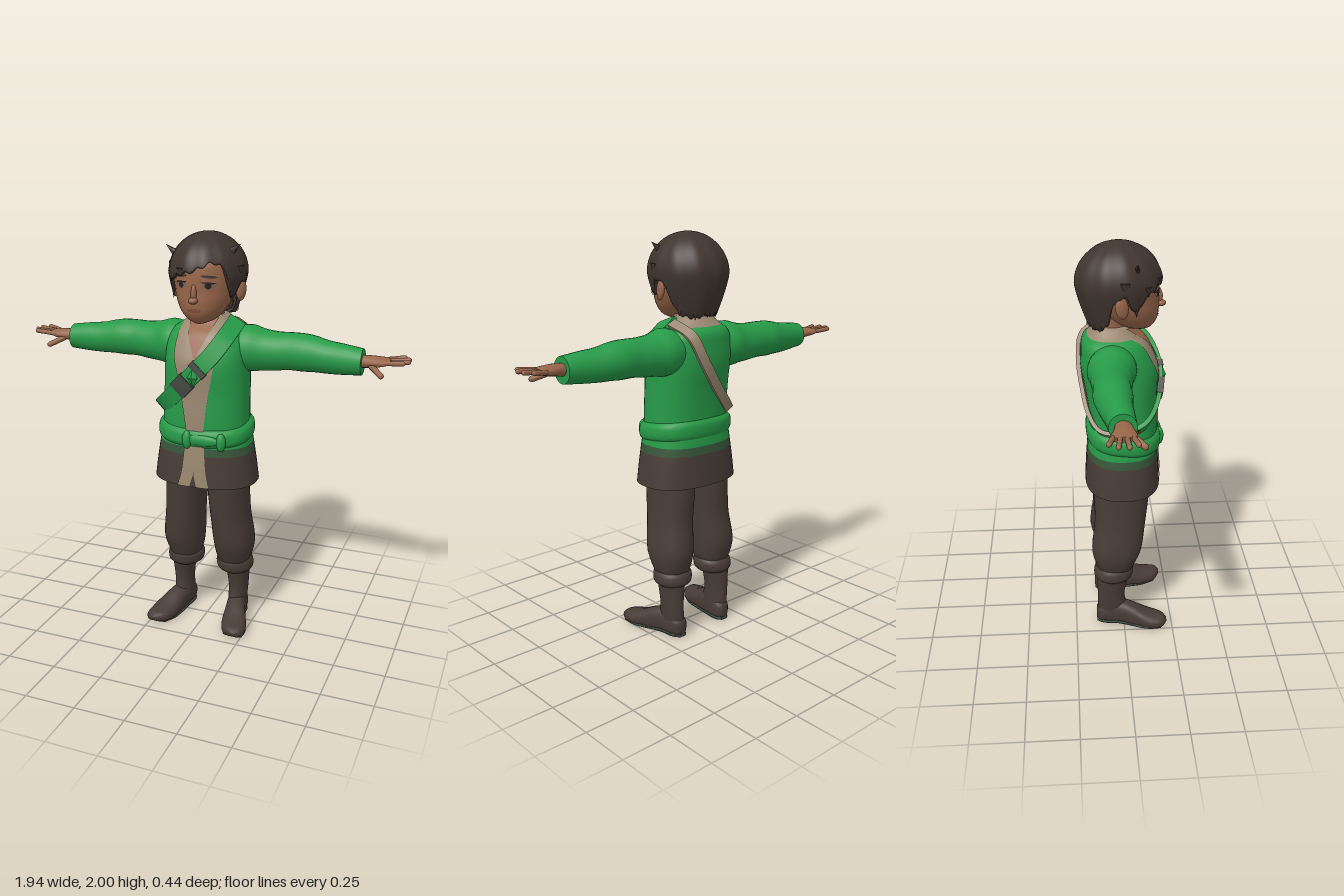
import * as THREE from 'three';
import { toCreasedNormals } from 'three/addons/utils/BufferGeometryUtils.js';

const mat = (name, color, side = THREE.FrontSide) => {
  const m = new THREE.MeshStandardMaterial({ color, side });
  m.name = name;
  return m;
};

// Surface from a rule f(i, j); wrap joins the last column to the first
function grid(rows, cols, f, wrap, flip) {
  const pos = [], idx = [], C = wrap ? cols : cols + 1;
  for (let i = 0; i <= rows; i++) for (let j = 0; j < C; j++) pos.push(...f(i, j));
  for (let i = 0; i < rows; i++) for (let j = 0; j < cols; j++) {
    const a = i * C + j, b = i * C + (j + 1) % C, c = a + C, d = b + C;
    idx.push(...(flip ? [a, c, b, b, c, d] : [a, b, c, b, d, c]));
  }
  const g = new THREE.BufferGeometry();
  g.setAttribute('position', new THREE.Float32BufferAttribute(pos, 3));
  g.setIndex(idx);
  g.computeVertexNormals();
  return g;
}

// Smooth interpolation of rows keyed by their first number
function sample(rows, h) {
  let i = 0;
  while (i < rows.length - 2 && h > rows[i + 1][0]) i++;
  const a = rows[i], b = rows[i + 1], p = rows[Math.max(i - 1, 0)], q = rows[Math.min(i + 2, rows.length - 1)];
  const d = b[0] - a[0], t = Math.min(1, Math.max(0, (h - a[0]) / d)), t2 = t * t, t3 = t2 * t;
  return a.map((v, k) => (2 * t3 - 3 * t2 + 1) * v + (3 * t2 - 2 * t3) * b[k]
    + (t3 - 2 * t2 + t) * d * (b[k] - p[k]) / (b[0] - p[0]) + (t3 - t2) * d * (q[k] - a[k]) / (q[0] - a[0]));
}
const spow = (v, p) => Math.sign(v) * Math.abs(v) ** (2 / p);

// Capped tube through sections [along, centreA, centreB, radiusA, radiusB]
function loft(secs, { axis = 'y', pow = 2, from = secs[0][0], to = secs.at(-1)[0], rows = 20, cols = 32, warp } = {}) {
  const g = grid(rows + 2, cols, (i, j) => {
    const h = from + (to - from) * Math.min(rows, Math.max(0, i - 1)) / rows;
    const [, ca, cb, ra, rb] = sample(secs, h), k = i === 0 || i === rows + 2 ? 0 : 1, t = j / cols * Math.PI * 2;
    const a = ca + k * ra * spow(Math.cos(t), pow), b = cb + k * rb * spow(Math.sin(t), pow);
    const p = axis === 'y' ? [a, h, b] : axis === 'x' ? [h, a, b] : [a, b, h];
    return warp ? warp(...p) : p;
  }, true, axis === 'y');
  return toCreasedNormals(g, 0.9);
}

// Depth of a lofted body at (x, y), front or back
function depth(secs, pow, x, y, side = 1) {
  const [, cx, cz, rx, rz] = sample(secs, y);
  return cz + side * rz * Math.max(0, 1 - Math.abs((x - cx) / rx) ** pow) ** (1 / pow);
}

// Thin cloth panel laid on a body, edges given as [y, left, right]
const panel = (secs, pow, edges, off) => grid(24, 10, (i, j) => {
  const y = edges[0][0] + (edges.at(-1)[0] - edges[0][0]) * i / 24, [, l, r] = sample(edges, y);
  const x = l + (r - l) * j / 10;
  return [x, y, depth(secs, pow, x, y) + off];
});

// Thin oval laid on a body
const oval = (secs, cx, cy, rx, ry, off, tilt = 0) => grid(3, 18, (i, j) => {
  const t = j / 18 * Math.PI * 2, x = cx + rx * i / 3 * Math.cos(t), y = cy + ry * i / 3 * Math.sin(t) + tilt * (x - cx);
  return [x, y, depth(secs, 2, x, y) + off];
}, true, true);

// Flat band along a curve, facing away from the chest centre
function band(curve, t0, t1, w, th) {
  const g = grid(32, 4, (i, j) => {
    const t = t0 + (t1 - t0) * Math.min(30, Math.max(0, i - 1)) / 30, p = curve.getPoint(t), T = curve.getTangent(t);
    const N = p.clone().sub(new THREE.Vector3(0, 1.36, -0.02));
    N.addScaledVector(T, -N.dot(T)).normalize();
    const W = T.clone().cross(N), k = i === 0 || i === 32 ? 0 : 1;
    return p.addScaledVector(W, k * w * [1, -1, -1, 1][j]).addScaledVector(N, k * th * [1, 1, -1, -1][j]).toArray();
  }, true, true);
  return toCreasedNormals(g, 0.6);
}

// Rounded finger between two points
function finger(a, b, r) {
  const A = new THREE.Vector3(...a), B = new THREE.Vector3(...b), d = B.clone().sub(A);
  const g = new THREE.CapsuleGeometry(r, d.length() - r, 4, 10);
  g.applyQuaternion(new THREE.Quaternion().setFromUnitVectors(new THREE.Vector3(0, 1, 0), d.normalize()));
  return g.translate(...A.add(B).multiplyScalar(0.5).toArray());
}
const ball = (x, y, z, rx, ry, rz) => new THREE.SphereGeometry(1, 20, 14).scale(rx, ry, rz).translate(x, y, z);

function mirrored(geo) {
  const g = geo.index ? geo.toNonIndexed() : geo.clone();
  g.scale(-1, 1, 1);
  for (const at of Object.values(g.attributes)) for (let i = 0; i < at.count; i += 3) for (let k = 0; k < at.itemSize; k++) {
    const v = at.getComponent(i + 1, k);
    at.setComponent(i + 1, k, at.getComponent(i + 2, k));
    at.setComponent(i + 2, k, v);
  }
  return g;
}

export function createModel() {
  const model = new THREE.Group();
  model.name = 'tunicChild';
  const green = mat('green cloth', 0x279a48), moss = mat('dark green cloth', 0x37563a), brown = mat('brown cloth', 0x483c36);
  const skin = mat('skin', 0x98664a), tan = mat('tan cloth', 0x9a8871, THREE.DoubleSide), hairMat = mat('hair', 0x40352f, THREE.DoubleSide);
  const leather = mat('grey leather', 0x454a40), dark = mat('eye dark', 0x2a201c), eye = mat('eye grey', 0x80695c), lip = mat('lip', 0x85503f);
  const add = (name, geo, m) => {
    const mesh = new THREE.Mesh(geo, m);
    mesh.name = name;
    model.add(mesh);
  };
  const pair = (name, geo, m) => { add(name + 'Left', geo, m); add(name + 'Right', mirrored(geo), m); };

  // Tunic body, collar and skirt
  const body = [[0.98, 0, 0, 0.22, 0.165], [1.1, 0, 0.005, 0.214, 0.165], [1.25, 0, -0.003, 0.21, 0.17], [1.4, 0, -0.015, 0.205, 0.183],
    [1.48, 0, -0.03, 0.2, 0.166], [1.54, 0, -0.045, 0.175, 0.145], [1.575, 0, -0.05, 0.125, 0.108], [1.61, 0, -0.05, 0.085, 0.08]];
  const skirt = [[0.79, 0, 0, 0.262, 0.186], [0.9, 0, 0, 0.247, 0.18], [1.05, 0, 0, 0.222, 0.168]];
  add('tunicBody', loft(body, { pow: 2.4, to: 1.566, rows: 30, cols: 40 }), green);
  add('collar', loft(body, { pow: 2.4, from: 1.566, rows: 6, cols: 40 }), tan);
  add('skirtTop', loft(skirt, { pow: 2.4, from: 0.99, rows: 4, cols: 40 }), green);
  add('skirtBand', loft(skirt, { pow: 2.4, from: 0.95, to: 0.99, rows: 4, cols: 40 }), moss);
  add('skirtHem', loft(skirt, { pow: 2.4, to: 0.95, rows: 8, cols: 40 }), brown);

  // Undershirt opening, bare neckline and the two front tails
  add('undershirt', panel(body, 2.4, [[1.06, -0.04, 0.045], [1.2, -0.062, 0.06], [1.35, -0.09, 0.085], [1.45, -0.115, 0.1], [1.57, -0.11, 0.1]], 0.006), tan);
  add('neckline', panel(body, 2.4, [[1.43, -0.004, 0.004], [1.52, -0.045, 0.04], [1.605, -0.075, 0.07]], 0.012), skin);
  add('shirtTailRight', panel(skirt, 2.4, [[0.792, -0.085, -0.02], [0.87, -0.064, 0], [1.02, -0.048, 0]], 0.006), tan);
  add('shirtTailLeft', panel(skirt, 2.4, [[0.792, 0.015, 0.078], [0.87, 0, 0.062], [1.02, 0, 0.048]], 0.006), tan);

  // Belt, rising a little at the back, with its knot
  add('belt', loft([[1.0, 0, 0, 0.222, 0.17], [1.02, 0, 0.004, 0.236, 0.182], [1.07, 0, 0.004, 0.234, 0.182], [1.09, 0, 0.004, 0.218, 0.168]],
    { pow: 2.4, cols: 40, rows: 10, warp: (x, y, z) => [x, y + (0.1 - z) * 0.12, z] }), green);
  add('beltKnot', ball(0.04, 1.035, 0.18, 0.09, 0.028, 0.018), green);
  [-0.035, 0.135].forEach(x => add('beltKnotEnd', ball(x, 1.032, x > 0.1 ? 0.17 : 0.182, 0.024, 0.046, 0.022), green));

  // Shoulder strap from left shoulder to right hip
  const onBody = (x, y, s) => new THREE.Vector3(x, y, depth(body, 2.4, x, y, s) + s * 0.012);
  const shoulder = new THREE.Vector3(0.135, 1.582, -0.05), hip = new THREE.Vector3(-0.225, 1.13, 0.01);
  const frontStrap = new THREE.CatmullRomCurve3([hip, onBody(-0.19, 1.17, 1), onBody(-0.1, 1.255, 1), onBody(0, 1.36, 1),
    onBody(0.08, 1.45, 1), onBody(0.125, 1.525, 1), shoulder]);
  const backStrap = new THREE.CatmullRomCurve3([shoulder, onBody(0.12, 1.53, -1), onBody(0.07, 1.42, -1), onBody(-0.02, 1.29, -1),
    onBody(-0.12, 1.18, -1), onBody(-0.185, 1.13, -1), hip]);
  add('strapFront', band(frontStrap, 0.08, 1, 0.042, 0.011), green);
  add('strapBack', band(backStrap, 0, 1, 0.024, 0.01), tan);
  add('strapTip', band(frontStrap, 0, 0.1, 0.03, 0.012), lip);
  add('strapBuckle', band(frontStrap, 0.36, 0.45, 0.046, 0.016), leather);
  add('strapClasp', band(frontStrap, 0.52, 0.56, 0.046, 0.016), leather);
  add('strapGem', new THREE.OctahedronGeometry(1).scale(0.026, 0.042, 0.018).translate(0, 1.345, 0.195), green);

  // Sleeves
  pair('sleeve', loft([[0.1, 1.455, -0.05, 0.09, 0.1], [0.2, 1.452, -0.058, 0.113, 0.115], [0.27, 1.447, -0.062, 0.1, 0.1], [0.34, 1.446, -0.065, 0.093, 0.092],
    [0.4, 1.45, -0.068, 0.09, 0.085], [0.47, 1.449, -0.068, 0.09, 0.088], [0.52, 1.447, -0.066, 0.085, 0.082], [0.58, 1.44, -0.06, 0.078, 0.074],
    [0.66, 1.438, -0.05, 0.072, 0.066], [0.75, 1.436, -0.042, 0.062, 0.06]], { axis: 'x', rows: 30, cols: 24 }), green);

  // Hands
  pair('palm', loft([[0.73, 1.438, -0.042, 0.03, 0.034], [0.78, 1.442, -0.04, 0.028, 0.042], [0.84, 1.445, -0.043, 0.021, 0.055],
    [0.875, 1.447, -0.046, 0.012, 0.05]], { axis: 'x', rows: 10, cols: 18 }), skin);
  [[-0.088, 0.94, -0.11], [-0.06, 0.967, -0.073], [-0.033, 0.97, -0.03], [-0.008, 0.95, 0.008]].forEach(([z0, x, z], i) =>
    pair('finger' + (i + 1), finger([0.855, 1.447, z0], [x - 0.006, 1.457, z], 0.0115), skin));
  pair('thumb', finger([0.79, 1.43, -0.015], [0.855, 1.397, 0.045], 0.014), skin);

  // Trousers, cuffs and boots
  pair('trouserLeg', loft([[0.31, 0.135, -0.045, 0.07, 0.08], [0.36, 0.135, -0.043, 0.09, 0.1], [0.44, 0.137, -0.036, 0.102, 0.125],
    [0.6, 0.122, -0.017, 0.098, 0.128], [0.75, 0.112, -0.01, 0.1, 0.138], [0.9, 0.106, 0, 0.104, 0.14]], { pow: 2.2 }), brown);
  pair('cuff', loft([[0.27, 0.138, -0.053, 0.075, 0.08], [0.285, 0.138, -0.053, 0.091, 0.097], [0.325, 0.135, -0.05, 0.094, 0.1],
    [0.35, 0.135, -0.046, 0.08, 0.088]], { rows: 10 }), brown);
  pair('bootShaft', loft([[0.03, 0.148, -0.065, 0.045, 0.07], [0.1, 0.15, -0.062, 0.047, 0.075], [0.17, 0.153, -0.066, 0.049, 0.07],
    [0.3, 0.15, -0.056, 0.062, 0.082]], { rows: 12 }), brown);
  pair('bootFoot', loft([[-0.142, 0.146, 0.05, 0.022, 0.035], [-0.12, 0.147, 0.052, 0.042, 0.052], [-0.03, 0.155, 0.06, 0.049, 0.068],
    [0.04, 0.172, 0.05, 0.056, 0.062], [0.12, 0.193, 0.033, 0.066, 0.044], [0.18, 0.207, 0.03, 0.058, 0.032], [0.207, 0.214, 0.033, 0.04, 0.022],
    [0.22, 0.217, 0.036, 0.014, 0.008]], { axis: 'z', pow: 2.4, rows: 24, warp: (x, y, z) => [x, Math.max(y, 0.012), z] }), brown);
  pair('sole', loft([[-0.14, 0.146, 0.008, 0.022, 0.008], [-0.11, 0.147, 0.008, 0.043, 0.008], [-0.03, 0.155, 0.008, 0.046, 0.008],
    [0.12, 0.193, 0.008, 0.064, 0.008], [0.19, 0.209, 0.012, 0.05, 0.008]], { axis: 'z', pow: 4, rows: 16 }), leather);

  // Neck, head, ears and face
  const head = [[1.588, 0, 0.085, 0.025, 0.035], [1.605, 0, 0.07, 0.065, 0.072], [1.64, 0, 0.052, 0.1, 0.112], [1.69, 0, 0.032, 0.128, 0.14],
    [1.74, 0, 0.018, 0.143, 0.153], [1.81, 0, 0.005, 0.155, 0.167], [1.88, 0, 0, 0.148, 0.16], [1.95, 0, -0.01, 0.1, 0.11]];
  add('neck', loft([[1.5, 0, -0.045, 0.078, 0.075], [1.6, 0, -0.045, 0.066, 0.068], [1.7, 0, -0.04, 0.075, 0.08]], { rows: 6 }), skin);
  add('head', loft(head, { rows: 28, cols: 36 }), skin);
  pair('ear', ball(0, 0, 0, 0.017, 0.052, 0.032).rotateY(-0.35).rotateX(-0.15).translate(0.166, 1.738, -0.01), skin);
  add('noseTip', ball(0, 1.706, 0.18, 0.022, 0.016, 0.026), skin);
  add('noseBridge', ball(0, 1.735, 0.168, 0.014, 0.045, 0.022).rotateX(0), skin);
  pair('eyeWhite', oval(head, 0.066, 1.772, 0.03, 0.014, 0.003), eye);
  pair('iris', oval(head, 0.066, 1.773, 0.014, 0.014, 0.006), dark);
  pair('eyelid', oval(head, 0.067, 1.787, 0.032, 0.004, 0.006, -0.1), dark);
  pair('eyebrow', oval(head, 0.068, 1.815, 0.035, 0.006, 0.005, -0.1), hairMat);
  add('mouth', oval(head, 0, 1.658, 0.034, 0.01, 0.004), lip);

  // Hair cap: lower edge by angle from the front, in degrees
  const edge = [[-180, 1.62], [-135, 1.61], [-112, 1.65], [-98, 1.76], [-82, 1.78], [-68, 1.71], [-52, 1.78], [-28, 1.815], [0, 1.84],
    [28, 1.875], [44, 1.85], [64, 1.71], [82, 1.78], [98, 1.76], [112, 1.65], [135, 1.61], [180, 1.62]];
  const hairPoint = (deg, y, grow = 1) => {
    const a = deg * Math.PI / 180, d = y - 1.81;
    const k = grow * (d > 0 ? Math.sqrt(Math.max(0, 1 - (d / 0.19) ** 2)) : 1 - 0.3 * (-d / 0.2) ** 1.3)
      * (1 + 0.014 * Math.sin(a * 11 + y * 9));
    return [0.186 * k * Math.sin(a), y, -0.015 + 0.203 * k * Math.cos(a)];
  };
  add('hairCap', grid(25, 96, (i, j) => {
    const deg = j / 96 * 360 - 180, e = sample(edge, deg)[1] + 0.008 * Math.sin(j * 1.3), t = Math.min(i, 24) / 24;
    return hairPoint(deg, 2 - (2 - e) * (1 - Math.cos(t * Math.PI / 2)), i === 25 ? 0.86 : 1);
  }, true, true), hairMat);

  // Loose locks along the hairline and crown
  [[-150, 1.63, 0.06], [-122, 1.65, 0.07], [-66, 1.72, 0.07], [-50, 1.8, 0.05], [-22, 1.83, 0.04], [60, 1.74, 0.08], [120, 1.65, 0.07],
    [150, 1.63, 0.06], [178, 1.63, 0.05], [-84, 1.82, 0.07], [78, 1.82, 0.07]].forEach(([deg, y, len]) => {
    const g = new THREE.ConeGeometry(0.024, len, 8).scale(1, 1, 0.5).rotateX(Math.PI).rotateY(deg * Math.PI / 180);
    add('hairLock', g.translate(...hairPoint(deg, y, 0.97)), hairMat);
  });
  [[-0.17, 1.915, 0.06, 0.9], [0.165, 1.93, 0.04, -0.9]].forEach(([x, y, z, r]) =>
    add('crownTuft', new THREE.ConeGeometry(0.025, 0.08, 8).scale(1, 1, 0.6).rotateZ(r).translate(x * 0.9, y, z), hairMat));
  return model;
}
